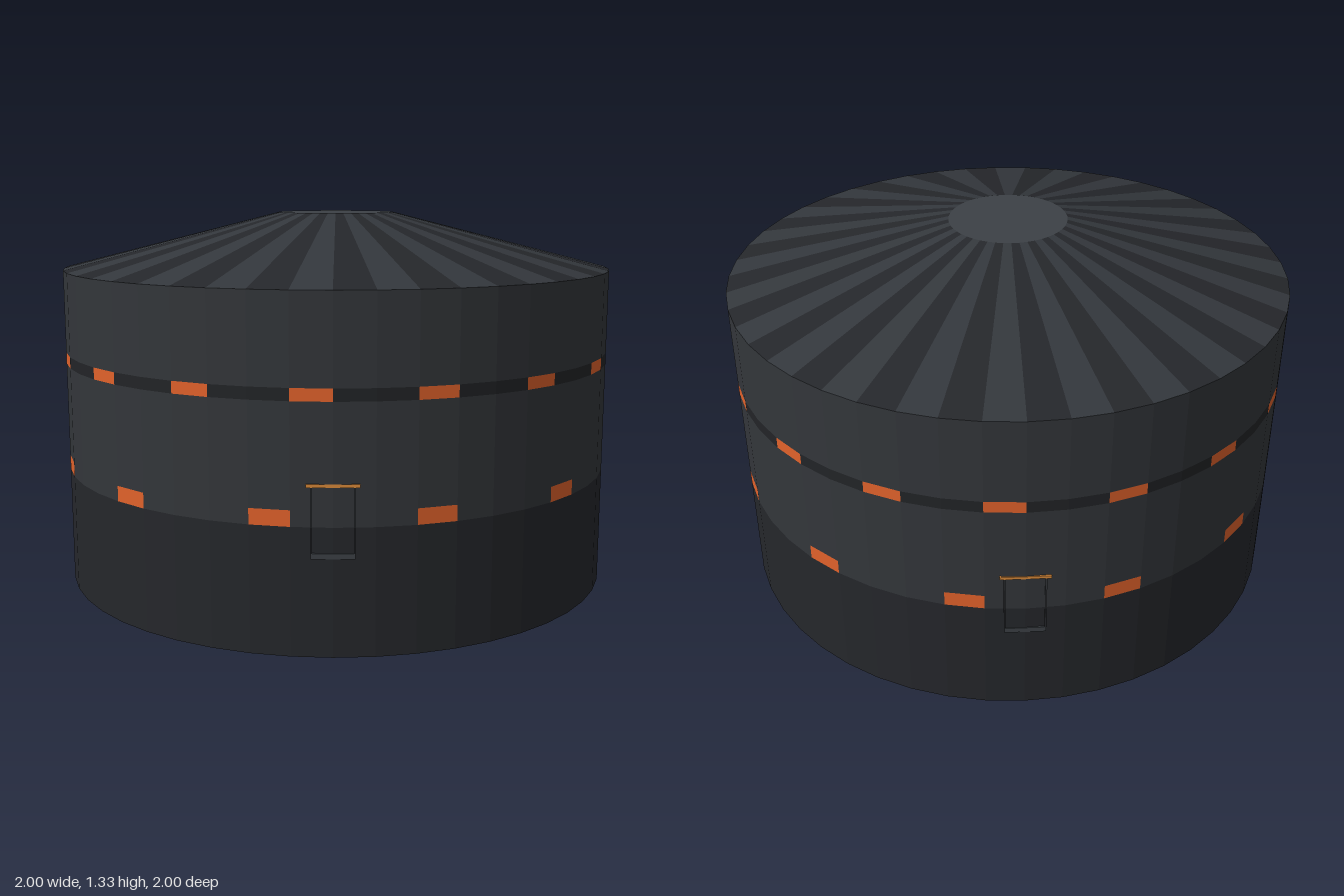
import * as THREE from 'three';
import { mergeGeometries } from 'three/addons/utils/BufferGeometryUtils.js';

const R = 0.998, SIDES = 48, STEP = (Math.PI * 2) / SIDES;
const WALL = 0x33363a, BASE = 0x25272b, DARK = 0x222427, ORANGE = 0xe2622b;

const material = (color, side = THREE.FrontSide) =>
  new THREE.MeshStandardMaterial({ color, side, flatShading: true });

export function createModel() {
  const model = new THREE.Group();

  const add = (name, geometry, color, side) => {
    const mesh = new THREE.Mesh(geometry, material(color, side));
    mesh.name = name;
    model.add(mesh);
    return mesh;
  };

  // Ring of flat panels; only the segments accepted by the test are built
  const ring = (name, color, y0, y1, test = () => true, r0 = R, r1 = R, side) => {
    const panels = [];
    for (let i = 0; i < SIDES; i++) {
      if (!test(i)) continue;
      const g = new THREE.CylinderGeometry(r1, r0, y1 - y0, 1, 1, true, i * STEP, STEP);
      panels.push(g.translate(0, (y0 + y1) / 2, 0));
    }
    return add(name, mergeGeometries(panels), color, side);
  };

  // Every third or fourth panel of the two bands is orange
  const upperLight = i => i % 3 === 2;
  const lowerLight = i => i % 4 === 2;

  // Walls, from the ground up
  ring('lowerWall', BASE, 0, 0.415, undefined, R, R, THREE.DoubleSide);
  ring('lowerBandWall', WALL, 0.415, 0.467, i => !lowerLight(i));
  ring('lowerBandMarkers', ORANGE, 0.415, 0.467, lowerLight);
  ring('middleWall', WALL, 0.467, 0.802);
  ring('upperBand', DARK, 0.802, 0.842, i => !upperLight(i));
  ring('upperBandMarkers', ORANGE, 0.802, 0.842, upperLight);
  ring('upperWall', WALL, 0.842, 1.133);

  // Striped conical roof and its flat cap
  ring('roofDarkStripes', BASE, 1.133, 1.333, i => i % 2 === 0, R, 0.21);
  ring('roofLightStripes', 0x33373c, 1.133, 1.333, i => i % 2 === 1, R, 0.21);
  add('roofCap', new THREE.CircleGeometry(0.21, SIDES).rotateX(-Math.PI / 2).translate(0, 1.333, 0), 0x3c4146);

  // Recessed underside
  add('floor', new THREE.CircleGeometry(R, SIDES).rotateX(Math.PI / 2).translate(0, 0.06, 0), 0xc8481a);

  // Rings of pegs below the floor
  const pegs = (name, count, radius, offset, r, y0) => {
    const parts = [];
    for (let i = 0; i < count; i++) {
      const a = offset + (i / count) * Math.PI * 2;
      const g = new THREE.CylinderGeometry(r, r, 0.065 - y0, 8);
      parts.push(g.translate(Math.sin(a) * radius, (0.065 + y0) / 2, Math.cos(a) * radius));
    }
    add(name, mergeGeometries(parts), 0x33373c);
  };
  pegs('rimPegs', 24, 0.975, 0, 0.014, 0.005);
  pegs('rimBracePegs', 12, 0.975, STEP / 2, 0.012, 0.005);
  pegs('innerFeet', 8, 0.17, 0, 0.017, 0.025);
  pegs('outerFeet', 8, 0.34, Math.PI / 8, 0.019, 0.025);

  // Thin hatch frames on the front and the back
  for (const [name, turn] of [['frontHatch', 0], ['backHatch', Math.PI]]) {
    const hatch = new THREE.Group();
    hatch.name = name;
    const bar = (part, w, h, x, y, color) => {
      const mesh = new THREE.Mesh(new THREE.BoxGeometry(w, h, 0.02), material(color));
      mesh.name = part;
      mesh.position.set(x, y, 0.99);
      hatch.add(mesh);
    };
    bar('lintel', 0.165, 0.01, 0, 0.545, 0xd98a3a);
    bar('sill', 0.135, 0.018, 0, 0.325, 0x3c4146);
    for (const s of [-1, 1]) {
      bar('upperPost', 0.006, 0.125, s * 0.066, 0.4775, WALL);
      bar('lowerPost', 0.006, 0.081, s * 0.066, 0.3745, BASE);
    }
    hatch.rotation.y = turn;
    model.add(hatch);
  }
  return model;
}
